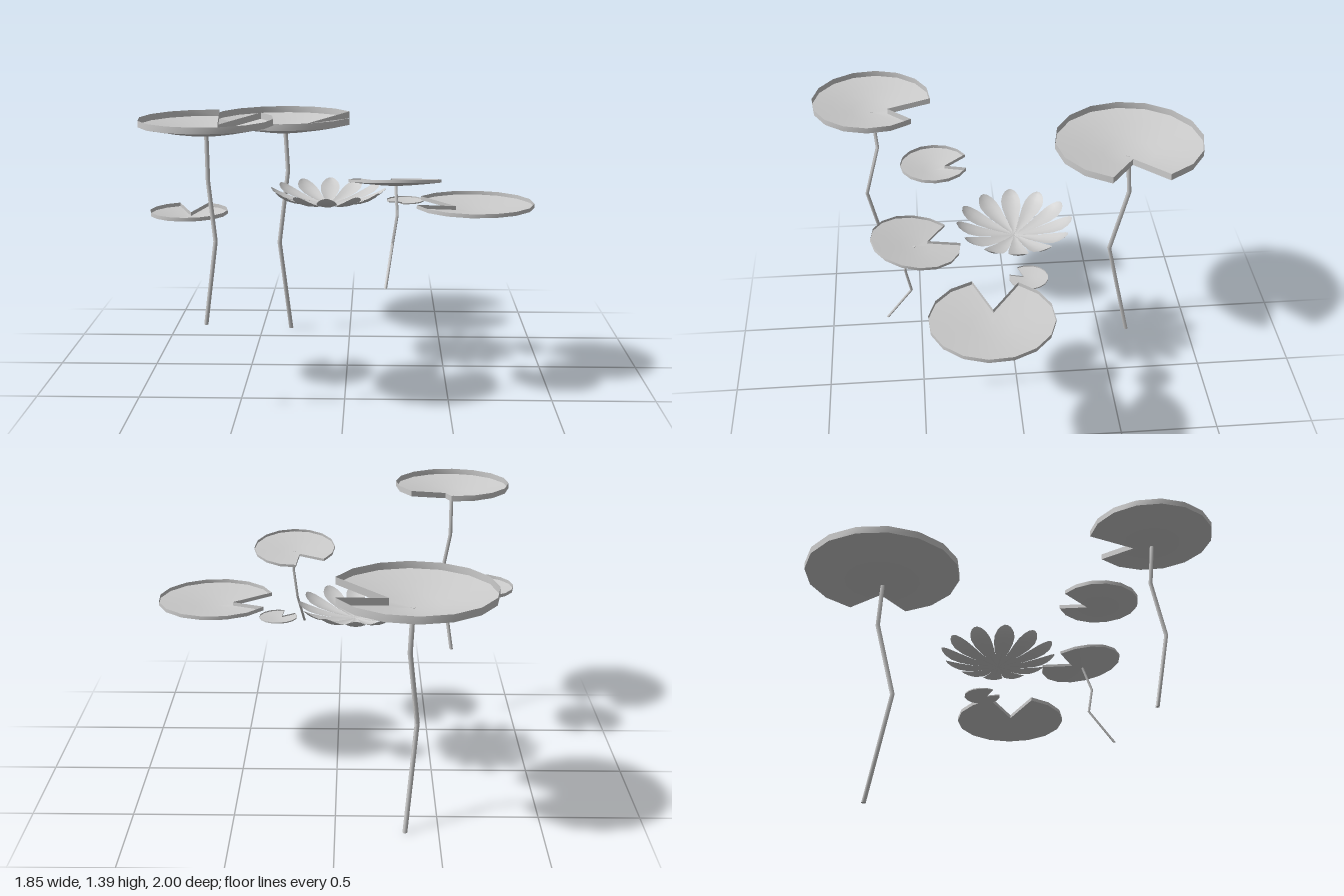
import * as THREE from 'three';
import { mergeVertices, toCreasedNormals } from 'three/addons/utils/BufferGeometryUtils.js';

const material = new THREE.MeshStandardMaterial({ color: 0xcccccc, side: THREE.DoubleSide });

// Skin a list of equally long rows of points; closed joins each row's ends.
function skin(rows, closed) {
  const n = rows[0].length, index = [];
  for (let i = 0; i < rows.length - 1; i++) {
    for (let j = 0; j < (closed ? n : n - 1); j++) {
      const k = (j + 1) % n;
      const a = i * n + j, b = i * n + k, c = a + n, d = b + n;
      index.push(a, c, b, b, c, d);
    }
  }
  let geometry = new THREE.BufferGeometry().setFromPoints(rows.flat());
  geometry.setIndex(index);
  geometry = mergeVertices(geometry, 1e-5);
  geometry.computeVertexNormals();
  return geometry;
}

function add(parent, name, geometry) {
  const mesh = new THREE.Mesh(geometry, material);
  mesh.name = name;
  parent.add(mesh);
  return mesh;
}

// Shallow notched dish with an upright lip that also follows the notch.
// The origin is the lowest point; notch is its direction in degrees from +x towards +z.
function lilyPad({ name, at, radius, depth, lip, notch, tilt = 0 }) {
  const SEGMENTS = 14, HALF_NOTCH = 22;
  const outline = [];
  const point = (r, degrees) => {
    const a = THREE.MathUtils.degToRad(degrees);
    return new THREE.Vector3(r * Math.cos(a), 0, r * Math.sin(a));
  };
  for (let i = 0; i <= SEGMENTS; i++) {
    outline.push(point(radius, notch + HALF_NOTCH + (i / SEGMENTS) * (360 - 2 * HALF_NOTCH)));
  }
  outline.push(point(radius * 0.3, notch));

  const ring = (scale, lift = 0) => outline.map((p) => {
    const q = p.clone().multiplyScalar(scale);
    q.y = (depth - lip) * Math.pow(q.length() / radius, 1.35) + lift;
    return q;
  });

  const pad = new THREE.Group();
  pad.name = name;
  add(pad, 'leafDish', skin([0, 0.35, 0.7, 1].map((s) => ring(s)), true));
  add(pad, 'leafLip', toCreasedNormals(skin([ring(1), ring(1, lip)], true), 0.7));
  pad.position.set(...at);
  pad.rotation.x = tilt;
  return pad;
}

// Bent stem: a six-sided ring at every joint, closed at both ends.
function stem(points, radius) {
  const ring = ([x, y, z], r) => Array.from({ length: 6 }, (_, i) => {
    const a = (i / 6) * Math.PI * 2;
    return new THREE.Vector3(x + r * Math.cos(a), y, z + r * Math.sin(a));
  });
  const rows = points.map((p) => ring(p, radius));
  rows.unshift(ring(points[0], 0));
  rows.push(ring(points[points.length - 1], 0));
  return toCreasedNormals(skin(rows, true), 1.1);
}

// One spoon-shaped petal pointing along +x, from [distance, height, half width] sections.
function petalGeometry() {
  const sections = [
    [0, 0, 0.003], [0.065, 0.006, 0.018], [0.13, 0.013, 0.034], [0.19, 0.026, 0.047],
    [0.235, 0.042, 0.05], [0.265, 0.06, 0.041], [0.283, 0.076, 0.026], [0.292, 0.088, 0.006],
  ];
  return skin(sections.map(([x, y, w]) => [-1, -0.5, 0, 0.5, 1].map((s) =>
    new THREE.Vector3(x, y + 0.22 * w * s * s, w * s))), false);
}

export function createModel() {
  const model = new THREE.Group();
  model.name = 'waterLilies';

  // Leaves
  const pads = [
    { name: 'largeBackPad', at: [-0.36, 1.135, -0.615], radius: 0.385, depth: 0.1, lip: 0.036, notch: -1 },
    { name: 'tallFrontPad', at: [-0.613, 1.31, 0.695], radius: 0.303, depth: 0.08, lip: 0.029, notch: -63.5 },
    { name: 'lowSidePad', at: [-0.747, 0.86, 0.385], radius: 0.185, depth: 0.048, lip: 0.018, notch: -90 },
    { name: 'wideFloatingPad', at: [0.63, 0.86, 0.165], radius: 0.295, depth: 0.048, lip: 0.019, notch: 187 },
    { name: 'smallFloatingPad', at: [0.295, 0.863, -0.035], radius: 0.095, depth: 0.016, lip: 0.006, notch: 128 },
    { name: 'tiltedPad', at: [0.235, 1.05, 0.503], radius: 0.216, depth: 0.032, lip: 0.014, notch: 244, tilt: -0.165 },
  ];
  pads.forEach((p) => model.add(lilyPad(p)));

  // Stems under the raised leaves, listed from the bottom up
  add(model, 'largeBackStem', stem([
    [-0.338, 0, -0.655], [-0.39, 0.53, -0.545], [-0.345, 0.92, -0.627], [-0.355, 1.138, -0.612]], 0.012));
  add(model, 'tallFrontStem', stem([
    [-0.638, 0.425, 0.67], [-0.575, 0.84, 0.752], [-0.612, 1.1, 0.68], [-0.612, 1.313, 0.697]], 0.01));
  add(model, 'tiltedPadStem', stem([
    [0.193, 0.6, 0.658], [0.225, 0.785, 0.533], [0.245, 0.925, 0.558], [0.238, 1.053, 0.508]], 0.007));

  // Blossom: one ring of twelve petals
  const flower = new THREE.Group();
  flower.name = 'flower';
  flower.position.set(-0.095, 0.856, 0);
  const petal = petalGeometry();
  for (let i = 0; i < 12; i++) add(flower, 'petal', petal).rotation.y = (i / 12) * Math.PI * 2;
  model.add(flower);

  return model;
}
